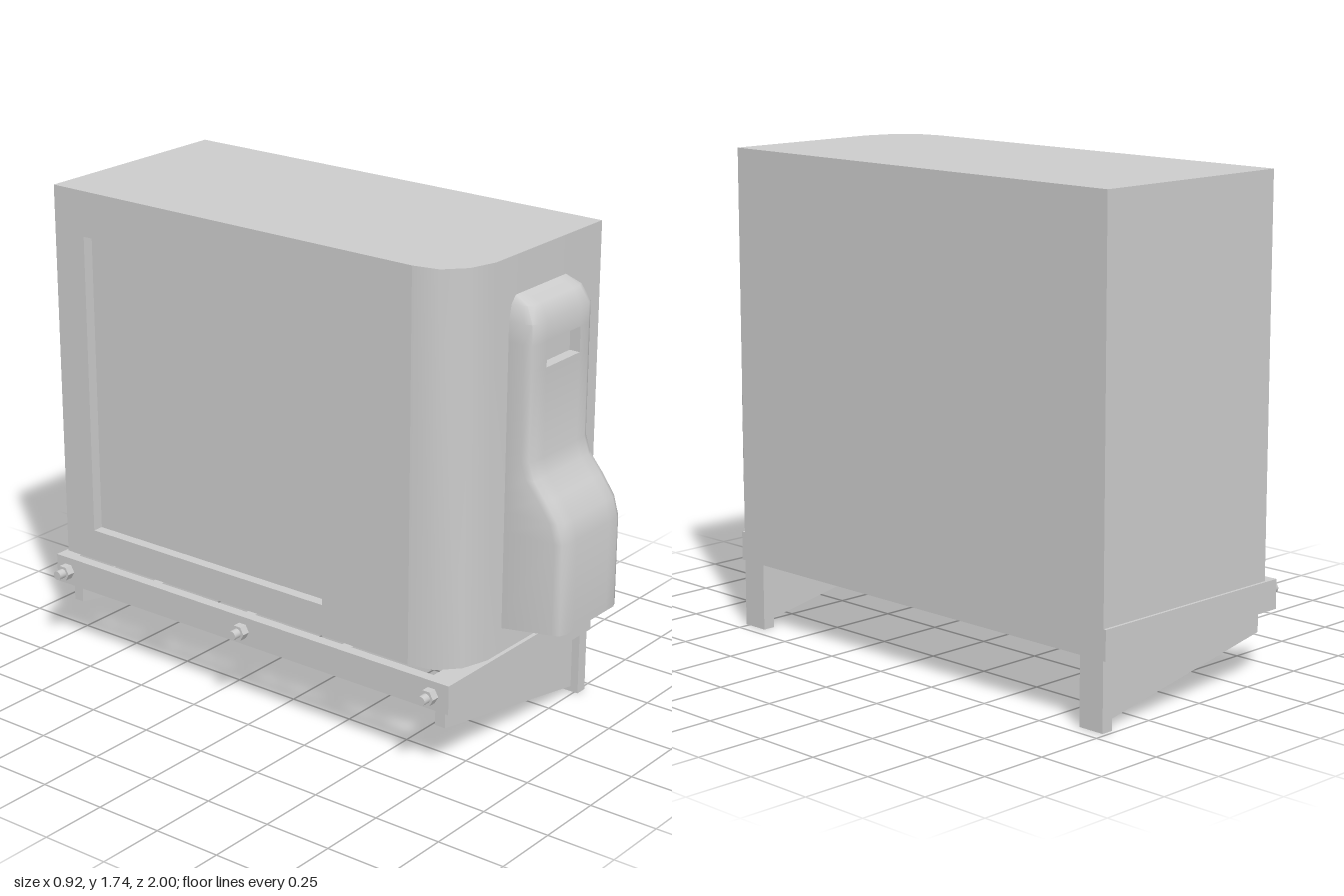
import * as THREE from 'three';
import { toCreasedNormals } from 'three/addons/utils/BufferGeometryUtils.js';

const grey = new THREE.MeshStandardMaterial({ color: 0xcccccc });
const inside = new THREE.MeshStandardMaterial({ color: 0xcccccc, side: THREE.BackSide });

const shapeOf = (pts) => new THREE.Shape(pts.map(([x, y]) => new THREE.Vector2(x, y)));
const rect = (x0, y0, x1, y1) => [[x0, y0], [x1, y0], [x1, y1], [x0, y1]];
const extrude = (shape, depth) => new THREE.ExtrudeGeometry(shape, { depth, bevelEnabled: false });

export function createModel() {
  const model = new THREE.Group();
  const add = (name, geometry, x = 0, y = 0, z = 0, material = grey) => {
    const mesh = new THREE.Mesh(geometry, material);
    mesh.name = name;
    mesh.position.set(x, y, z);
    model.add(mesh);
    return mesh;
  };

  // Cabinet: footprint with one rounded front corner, stepped in for the side panel
  const footprint = [[0.455, -0.985], [0.455, 0.765], [-0.16, 0.765], [-0.26, 0.735],
    [-0.33, 0.67], [-0.35, 0.575], [-0.31, 0.575], [-0.31, -0.985]];
  const cabinet = extrude(shapeOf(footprint.map(([x, z]) => [x, -z])), 1.39).rotateX(-Math.PI / 2);
  add('cabinet', toCreasedNormals(cabinet, 0.7), 0, 0.345, 0);

  // Side panel with a recessed rectangle
  const panel = shapeOf(rect(-0.985, 0.345, 0.575, 1.735));
  panel.holes.push(shapeOf(rect(-0.85, 0.46, 0.21, 1.57)));
  add('sidePanel', extrude(panel, 0.04).rotateY(-Math.PI / 2), -0.31, 0, 0);

  // Base frame: a grid of open cells
  const frame = shapeOf(rect(-0.4, -0.78, 0.455, 0.995));
  const cellZ = [[-0.92, -0.555], [-0.515, -0.12], [-0.08, 0.305], [0.345, 0.69]];
  for (let i = 0; i < 3; i++) {
    const x = -0.36 + i * 0.272;
    for (const [z0, z1] of cellZ) frame.holes.push(shapeOf(rect(x, -z1, x + 0.232, -z0)));
  }
  add('baseFrame', extrude(frame, 0.105).rotateX(-Math.PI / 2), 0, 0.24, 0);

  // Brackets: an upright foot and a tapered gusset at each end
  const gusset = shapeOf([[-0.355, 0.24], [-0.355, 0.16], [0.41, 0.02], [0.41, 0.24]]);
  for (const z of [0.715, -0.935]) {
    add('bracketFoot', new THREE.BoxGeometry(0.045, 0.24, 0.1), 0.4325, 0.12, z);
    add('bracketGusset', extrude(gusset, 0.04), 0, 0, z - 0.02);
  }

  // Bolts with hexagonal nuts along the frame's side
  const nut = new THREE.CylinderGeometry(0.029, 0.029, 0.03, 6).rotateZ(Math.PI / 2);
  const bolt = new THREE.CylinderGeometry(0.017, 0.017, 0.06, 16).rotateZ(Math.PI / 2);
  for (const z of [-0.94, -0.105, 0.71]) {
    add('nut', toCreasedNormals(nut, 0.5), -0.415, 0.293, z);
    add('bolt', bolt, -0.43, 0.293, z);
  }

  // Front cover: sections [height, depth, half width], leaving a window open
  const sections = [[0.435, 0, 0.18], [0.465, 0.235, 0.18], [0.79, 0.235, 0.18], [0.86, 0.215, 0.18],
    [0.93, 0.165, 0.18], [0.99, 0.115, 0.18], [1.05, 0.095, 0.18], [1.36, 0.095, 0.18],
    [1.45, 0.095, 0.18], [1.52, 0.095, 0.18], [1.575, 0.065, 0.167], [1.6, 0, 0.145]];
  const windowRow = 7, windowColumn = 4, count = 10;
  const positions = [], index = [];
  sections.forEach(([y, d, w], j) => {
    const r = Math.min(0.035, d);
    const half = [[w, 0], [w, d - r], [w - 0.3 * r, d - 0.3 * r], [w - r, d], [0.0975, d]];
    const loop = [...half.map(([x, z]) => [-x, z]), ...half.reverse()];
    for (const [x, z] of loop) positions.push(x, y, z);
    if (j === sections.length - 1) return;
    for (let i = 0; i < count - 1; i++) {
      if (j === windowRow && i === windowColumn) continue;
      const a = j * count + i, b = a + count;
      index.push(a, a + 1, b + 1, a, b + 1, b);
    }
  });
  const cover = new THREE.BufferGeometry();
  cover.setAttribute('position', new THREE.Float32BufferAttribute(positions, 3));
  cover.setIndex(index);
  add('frontCover', toCreasedNormals(cover, 0.85), 0.1, 0, 0.765);
  add('coverWindowRecess', new THREE.BoxGeometry(0.195, 0.09, 0.04), 0.1, 1.405, 0.84, inside);

  return model;
}
